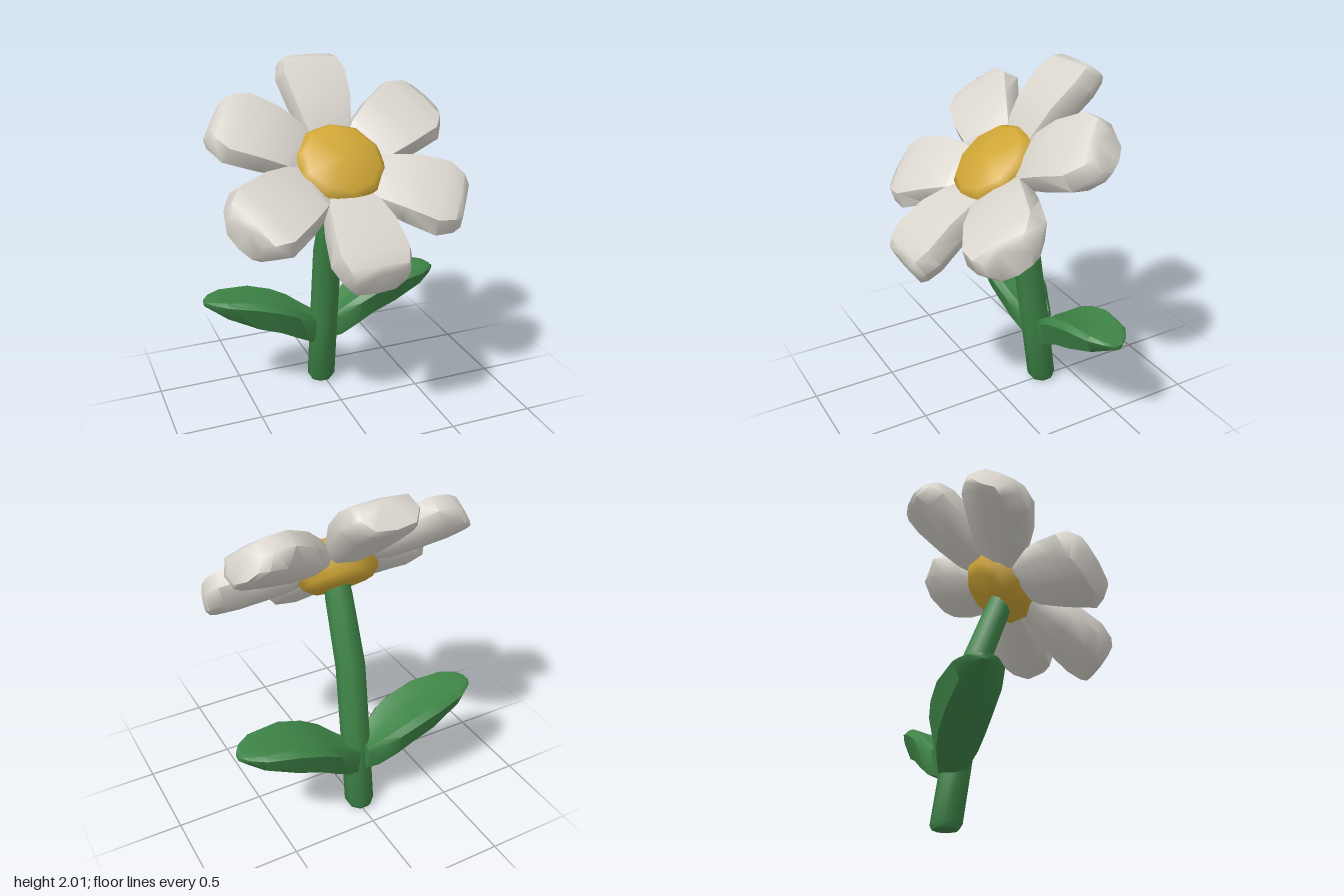
import * as THREE from 'three';
import { toCreasedNormals } from 'three/addons/utils/BufferGeometryUtils.js';

function mat(name, color) {
  const m = new THREE.MeshStandardMaterial({ color });
  m.name = name;
  return m;
}

// Skin closed rings of points (each ring is counterclockwise seen from the far end), with end caps
function loft(rings, crease) {
  const n = rings[0].length;
  const index = [];
  for (let r = 0; r < rings.length - 1; r++) {
    for (let i = 0; i < n; i++) {
      const a = r * n + i, b = r * n + (i + 1) % n;
      index.push(a, b, b + n, a, b + n, a + n);
    }
  }
  const end = (rings.length - 1) * n;
  for (let i = 1; i < n - 1; i++) {
    index.push(0, i + 1, i, end, end + i, end + i + 1);
  }
  const g = new THREE.BufferGeometry();
  g.setAttribute('position', new THREE.Float32BufferAttribute(rings.flat(2), 3));
  g.setIndex(index);
  return toCreasedNormals(g, crease);
}

// Blocky petal growing along +y, its face towards +z; tip is the half width of the blunt end
function petalGeometry(width, tip) {
  // distance from centre, half width, underside, upper side
  const stations = [
    [0.15, 0.11, -0.06, 0.03],
    [0.27, 0.165, -0.08, 0.08],
    [0.42, 0.20, -0.08, 0.12],
    [0.60, 0.22, -0.075, 0.128],
    [0.69, (0.22 + tip) / 2, -0.07, 0.12],
    [0.725, tip, -0.06, 0.10],
  ];
  return loft(stations.map(([y, w, lo, hi]) => {
    const mid = (lo + hi) / 2;
    return [[0, hi], [0.85, hi - 0.01], [1, mid], [0.7, lo + 0.015], [0, lo],
      [-0.7, lo + 0.015], [-1, mid], [-0.85, hi - 0.01]]
      .map(([s, h]) => [s * w * width, y - 0.2 * h, h]);
  }), 1.0);
}

// Thick leaf growing along +x, with a shallow groove on top and a rounded underside
function leafGeometry(sag) {
  // x, y, half width, half depth
  const stations = [
    [0.03, 0.36, 0.08, 0.09],
    [0.10, 0.395, 0.11, 0.105],
    [0.20, 0.47, 0.15, 0.11],
    [0.30, 0.53, 0.165, 0.105],
    [0.44, 0.58, 0.165, 0.10],
    [0.62, 0.625, 0.13, 0.06],
    [0.70, 0.645, 0.075, 0.03],
    [0.735, 0.645, 0.025, 0.015],
  ];
  return loft(stations.map(([x, y, w, d]) =>
    [[0, 0.7], [0.8, 1], [1, 0.65], [0.72, -0.75], [0, -1], [-0.72, -0.75], [-1, 0.65], [-0.8, 1]]
      .map(([s, h]) => [x, y + h * d - sag * Math.sin(x / 0.735 * Math.PI), s * w])), 0.9);
}

// Stem leaning forward, with a bevelled foot
function stemGeometry() {
  // height, z, radius, forward tilt of the ring
  const stations = [
    [0.0, -0.315, 0.07, 0],
    [0.025, -0.313, 0.085, 0],
    [0.45, -0.255, 0.084, 0.14],
    [0.91, -0.187, 0.083, 0.25],
    [1.28, -0.053, 0.076, 0.4],
    [1.42, 0.0, 0.065, 0.5],
  ];
  const sides = 8;
  return loft(stations.map(([y, z, r, tilt]) => {
    const ring = [];
    for (let i = 0; i < sides; i++) {
      const t = (i + 0.5) / sides * Math.PI * 2;
      const c = Math.cos(t) * r;
      ring.push([Math.sin(t) * r - 0.013, y - c * Math.sin(tilt), z + c * Math.cos(tilt)]);
    }
    return ring;
  }), 1.0);
}

export function createModel() {
  const petalWhite = mat('petal white', 0xd8d4cc);
  const centreYellow = mat('centre yellow', 0xd0a636);
  const leafGreen = mat('leaf green', 0x3e8447);

  const model = new THREE.Group();
  model.name = 'flower';
  const add = (parent, name, geometry, material) => {
    const mesh = new THREE.Mesh(geometry, material);
    mesh.name = name;
    parent.add(mesh);
    return mesh;
  };

  add(model, 'stem', stemGeometry(), leafGreen);

  // Pair of leaves, one turned half a circle and hanging a little lower
  [['leftLeaf', 0, 0, -0.315], ['rightLeaf', Math.PI, 0.03, -0.307]].forEach(([name, turn, sag, z]) => {
    const mesh = add(model, name, leafGeometry(sag), leafGreen);
    mesh.position.z = z;
    mesh.rotation.y = turn;
  });

  // Head tilted up and forward
  const head = new THREE.Group();
  head.name = 'head';
  head.position.set(-0.015, 1.475, 0);
  head.rotation.x = -0.863;
  model.add(head);

  // Petals counterclockwise from the top: width factor, tip half width
  [
    ['topPetal', 0.95, 0.165],
    ['upperRightPetal', 1.05, 0.11],
    ['lowerRightPetal', 1.08, 0.12],
    ['bottomPetal', 1.02, 0.15],
    ['lowerLeftPetal', 1.08, 0.12],
    ['upperLeftPetal', 1.05, 0.11],
  ].forEach(([name, width, tip], k) => {
    add(head, name, petalGeometry(width, tip), petalWhite).rotation.z = k * Math.PI / 3;
  });

  // Faceted centre button
  const profile = [[0, -0.14], [0.17, -0.14], [0.215, -0.10], [0.25, 0.02], [0.25, 0.06], [0.21, 0.095], [0, 0.11]]
    .map(([x, y]) => new THREE.Vector2(x, y));
  const button = new THREE.LatheGeometry(profile, 10);
  button.rotateX(Math.PI / 2);
  add(head, 'centre', toCreasedNormals(button, 1.0), centreYellow);

  return model;
}
